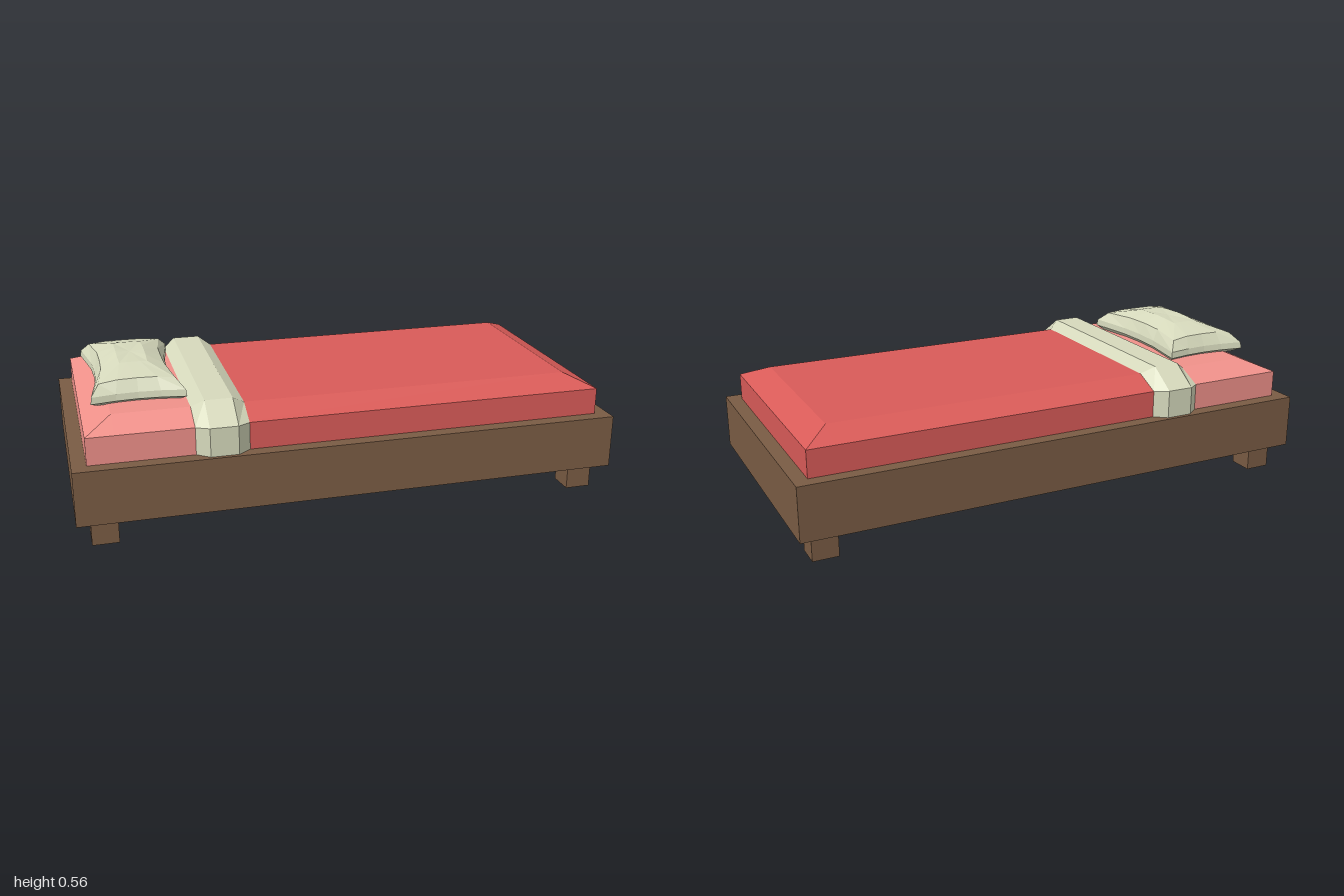
import * as THREE from 'three';

const material = (color) => new THREE.MeshStandardMaterial({ color, flatShading: true, side: THREE.DoubleSide });
const WOOD = material(0x7a5c44);
const RED = material(0xd95b58);
const PINK = material(0xf0918a);
const CREAM = material(0xd6d9bc);

function add(group, name, geometry, mat, x = 0, y = 0, z = 0) {
  const mesh = new THREE.Mesh(geometry, mat);
  mesh.name = name;
  mesh.position.set(x, y, z);
  group.add(mesh);
}

// Skins a list of closed rings of equal length and caps both ends.
function skin(rings) {
  const positions = [];
  const tri = (...corners) => {
    const t = new THREE.Triangle(...corners);
    if (t.getArea() > 1e-8) corners.forEach((p) => positions.push(p.x, p.y, p.z));
  };
  const n = rings[0].length;
  const centre = (ring) => ring.reduce((s, p) => s.add(p), new THREE.Vector3()).divideScalar(n);
  const first = rings[0], last = rings[rings.length - 1];
  const c0 = centre(first), c1 = centre(last);
  for (let j = 0; j < n; j++) {
    const k = (j + 1) % n;
    for (let i = 0; i < rings.length - 1; i++) {
      const r = rings[i], s = rings[i + 1];
      tri(r[j], s[j], s[k]);
      tri(r[j], s[k], r[k]);
    }
    tri(c0, first[j], first[k]);
    tri(c1, last[k], last[j]);
  }
  const geometry = new THREE.BufferGeometry();
  geometry.setAttribute('position', new THREE.Float32BufferAttribute(positions, 3));
  geometry.computeVertexNormals();
  return geometry;
}

// Bedding: sections along x of [x, half width, shoulder y, half top width, top y].
function bedding(sections) {
  return skin(sections.map(([x, w, sy, t, ty]) =>
    [[w, 0.3], [w, sy], [t, ty], [-t, ty], [-w, sy], [-w, 0.3]]
      .map(([z, y]) => new THREE.Vector3(x, y, z))));
}

// Pillow ring: a quarter outline of [x, z, y] from the +x axis to the +z axis, mirrored twice.
function pillowRing(quarter) {
  const half = [...quarter, ...quarter.slice(0, -1).reverse().map(([x, z, y]) => [-x, z, y])];
  const back = half.slice(1, -1).reverse().map(([x, z, y]) => [x, -z, y]);
  return [...half, ...back].map(([x, z, y]) => new THREE.Vector3(x, y, z));
}

export function createModel() {
  const bed = new THREE.Group();
  bed.name = 'bed';

  // Wooden base and four short legs
  add(bed, 'frame', new THREE.BoxGeometry(2, 0.2, 1), WOOD, 0, 0.2, 0);
  for (const sx of [-1, 1]) {
    for (const sz of [-1, 1]) {
      const name = (sz > 0 ? 'front' : 'back') + (sx > 0 ? 'Left' : 'Right') + 'Leg';
      add(bed, name, new THREE.BoxGeometry(0.095, 0.1, 0.095), WOOD, sx * 0.9025, 0.05, sz * 0.4025);
    }
  }

  // Bevelled mattress, split in colour beneath the folded band
  const split = [-0.48, 0.45, 0.4, 0.355, 0.443];
  add(bed, 'sheet', bedding([
    [-0.948, 0.45, 0.4, 0.45, 0.4],
    [-0.85, 0.45, 0.4, 0.355, 0.443],
    split,
  ]), PINK);
  add(bed, 'blanket', bedding([
    split,
    [0.85, 0.45, 0.4, 0.355, 0.443],
    [0.948, 0.45, 0.4, 0.45, 0.4],
  ]), RED);

  // Folded band wrapping over the mattress
  add(bed, 'blanketFold', bedding([
    [-0.575, 0.45, 0.4, 0.355, 0.443],
    [-0.53, 0.486, 0.405, 0.385, 0.473],
    [-0.43, 0.486, 0.405, 0.385, 0.473],
    [-0.385, 0.45, 0.4, 0.355, 0.443],
  ]), CREAM);

  // Pillow with pulled-out corners: underside, two rim rings, shoulder and crown
  const rim = [[0.135, 0], [0.14, 0.11], [0.168, 0.287], [0.08, 0.272], [0, 0.267]];
  const scaled = (s, y) => rim.map(([x, z]) => [x * s, z * s, y]);
  const shoulder = [[0.113, 0, 0.527], [0.115, 0.1, 0.525], [0.135, 0.245, 0.517], [0.07, 0.24, 0.525], [0, 0.238, 0.526]];
  const crown = [[0.052, 0, 0.555], [0.052, 0.06, 0.553], [0.05, 0.125, 0.549], [0.025, 0.125, 0.55], [0, 0.125, 0.55]];
  const rings = [scaled(0.86, 0.438), scaled(1, 0.458), scaled(0.985, 0.482), shoulder, crown];
  add(bed, 'pillow', skin(rings.map(pillowRing)), CREAM, -0.743, 0, 0);

  return bed;
}
